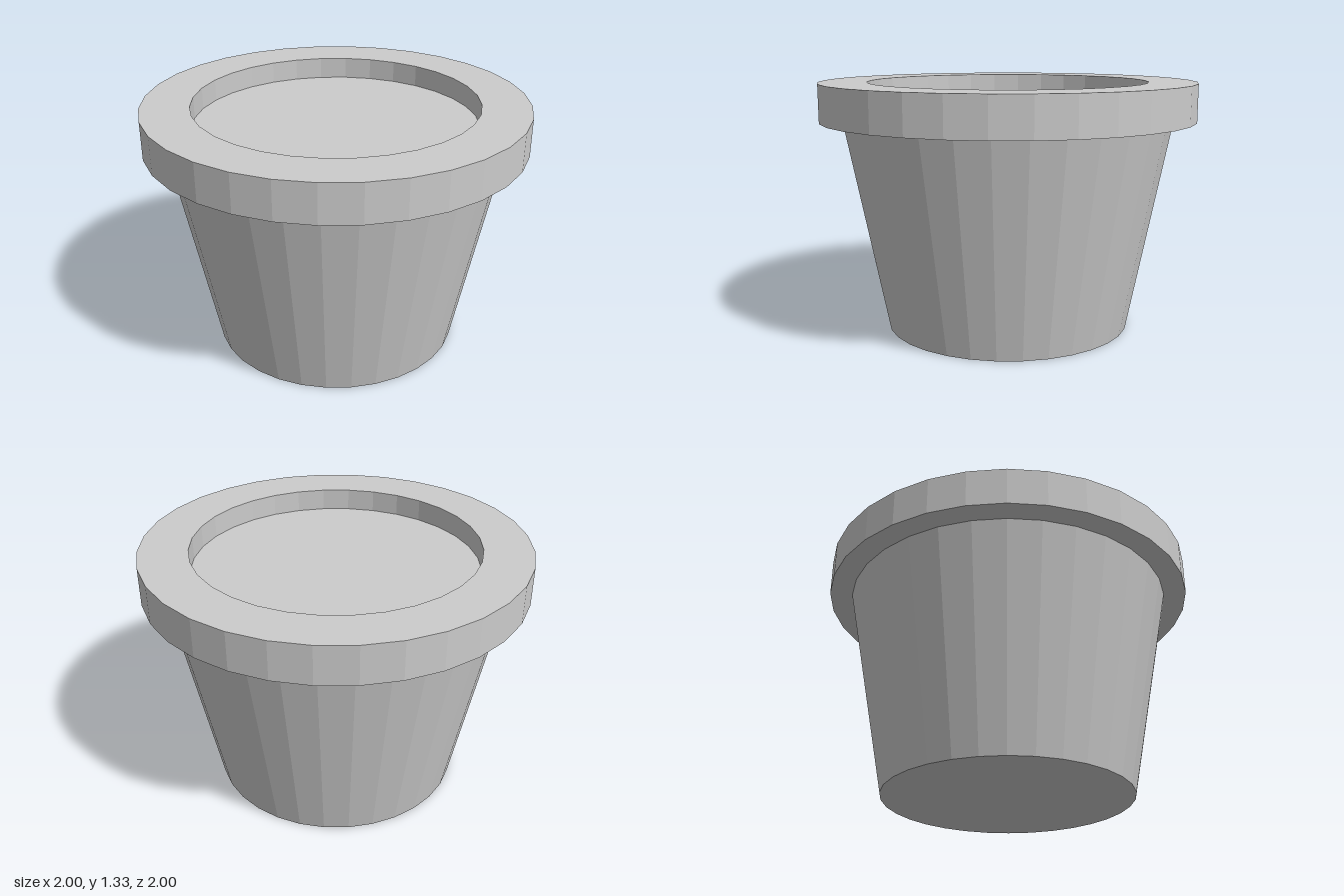
import * as THREE from 'three';

const SIDES = 32;
const RIM_BOTTOM = 1.125, RIM_TOP = 1.325, SOIL_Y = 1.21;
const RIM_RADIUS = 1, OPENING_RADIUS = 0.745;

export function createModel() {
  const model = new THREE.Group();
  model.name = 'flowerPot';
  const material = new THREE.MeshStandardMaterial({ color: 0xcccccc, flatShading: true });

  const add = (name, geometry, y = 0) => {
    const mesh = new THREE.Mesh(geometry, material);
    mesh.name = name;
    mesh.position.y = y;
    model.add(mesh);
    return mesh;
  };

  // Tapered body with a closed base
  add('body', new THREE.CylinderGeometry(0.88, 0.66, RIM_BOTTOM, SIDES), RIM_BOTTOM / 2);

  // Thick overhanging collar: underside, outer wall, top and inner wall
  const rimProfile = [
    [OPENING_RADIUS, RIM_BOTTOM],
    [RIM_RADIUS, RIM_BOTTOM],
    [RIM_RADIUS, RIM_TOP],
    [OPENING_RADIUS, RIM_TOP],
    [OPENING_RADIUS, RIM_BOTTOM],
  ].map(([r, y]) => new THREE.Vector2(r, y));
  add('rim', new THREE.LatheGeometry(rimProfile, SIDES));

  // Flat soil surface sunk below the rim
  const soil = new THREE.CircleGeometry(OPENING_RADIUS, SIDES);
  soil.rotateX(-Math.PI / 2);
  add('soil', soil, SOIL_Y);

  return model;
}
